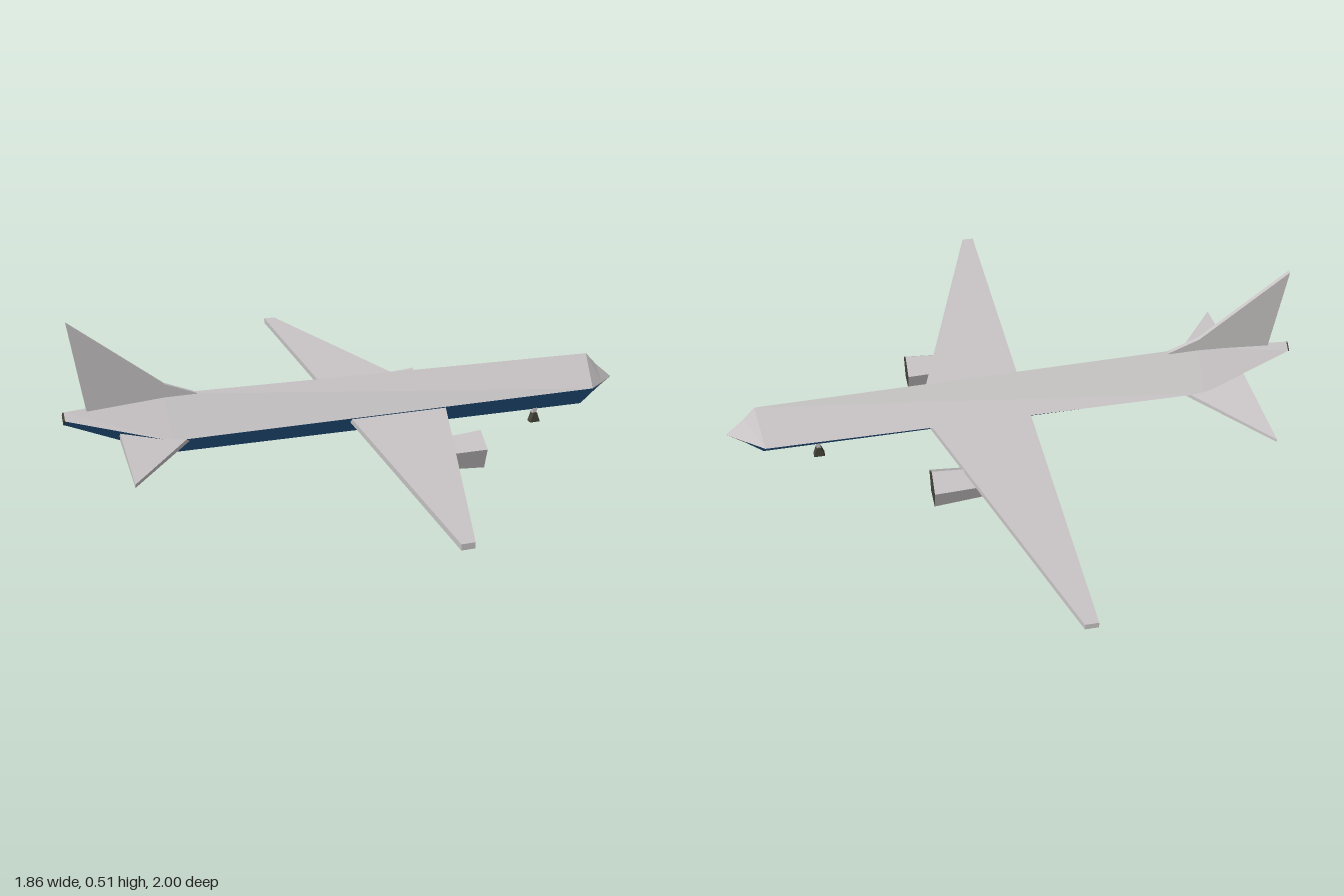
import * as THREE from 'three';
import { ConvexGeometry } from 'three/addons/geometries/ConvexGeometry.js';

const material = (name, color) => {
  const m = new THREE.MeshStandardMaterial({ color, flatShading: true });
  m.name = name;
  return m;
};

export function createModel() {
  const model = new THREE.Group();
  const gray = material('light gray', 0xc9c5c6);
  const blue = material('belly blue', 0x2a6096);
  const dark = material('dark metal', 0x45453a);

  const add = (name, geometry, mat, x = 0, y = 0, z = 0) => {
    const mesh = new THREE.Mesh(geometry, mat);
    mesh.name = name;
    mesh.position.set(x, y, z);
    model.add(mesh);
    return mesh;
  };

  // Hull stations: x, top, side and bottom height, half width
  const nose = [[0.81, 0.225, 0.135, 0.043, 0.1], [0.87, 0.182, 0.132, 0.085, 0.05], [0.93, 0.13, 0.13, 0.13, 0]];
  const body = [[-0.93, 0.23, 0.21, 0.188, 0.025], [-0.62, 0.252, 0.135, 0.054, 0.1], nose[0]];
  const ring = ([x, top, side, bottom, w], shift = 0) => [
    [x + shift, top, 0], [x, side, w], [x + shift / 2, bottom, 0], [x, side, -w]];

  // Joins diamond rings over the chosen sides (0, 3 upper; 1, 2 lower)
  const loft = (stations, sides) => {
    const rings = stations.map(s => ring(s, s === nose[0] ? 0.02 : 0));
    const pos = [];
    for (let i = 0; i < rings.length - 1; i++) {
      for (const k of sides) {
        const n = (k + 1) % 4;
        const [a, b, c, d] = [rings[i][k], rings[i][n], rings[i + 1][n], rings[i + 1][k]];
        pos.push(...a, ...b, ...c, ...a, ...c, ...d);
      }
    }
    const g = new THREE.BufferGeometry();
    g.setAttribute('position', new THREE.Float32BufferAttribute(pos, 3));
    g.computeVertexNormals();
    return g;
  };
  add('upperHull', loft(body, [0, 3]), gray);
  add('belly', loft(body, [1, 2]), blue);
  add('upperNose', loft(nose, [0, 3]), gray);
  add('lowerNose', loft(nose.slice(0, 2), [1, 2]), blue);
  add('noseTip', loft(nose.slice(1), [1, 2]), gray);

  // Exhaust plate closing the tail
  const tail = ring(body[0]).map(p => new THREE.Vector3(...p));
  add('tailExhaust', new ConvexGeometry([...tail, ...tail.map(p => p.clone().setX(-0.934))]), dark);

  // Flat plates cut from an outline
  const plate = (points, depth) => new THREE.ExtrudeGeometry(
    new THREE.Shape(points.map(p => new THREE.Vector2(...p))), { depth, bevelEnabled: false });
  const wing = plate([[-0.04, -1], [0, -1], [0.31, 0], [0, 1], [-0.04, 1]], 0.018);
  add('wings', wing.rotateX(-Math.PI / 2), gray, 0, 0.112, 0);
  add('tailFin', plate([[-0.86, 0.215], [-0.52, 0.235], [-0.52, 0.246], [-0.62, 0.287], [-0.905, 0.513]], 0.014),
    gray, 0, 0, -0.007);

  for (const s of [1, -1]) {
    const side = s > 0 ? 'near' : 'far';

    // Tapered stabilizer
    add(side + 'Stabilizer', new ConvexGeometry([
      [-0.53, 0.122, 0.04], [-0.53, 0.136, 0.04], [-0.77, 0.13, 0.03], [-0.77, 0.16, 0.03],
      [-0.78, 0.116, 0.36], [-0.78, 0.126, 0.36],
    ].map(([x, y, z]) => new THREE.Vector3(x, y, z * s))), gray);

    // Five-sided engine, point up, dark at both ends
    const engine = new THREE.CylinderGeometry(0.062, 0.05, 0.165, 5);
    engine.rotateZ(-Math.PI / 2).rotateX(Math.PI / 2);
    // Turn one corner to the top
    const p = engine.attributes.position;
    let up = 0;
    for (let i = 0; i < p.count; i++) if (Math.hypot(p.getY(i), p.getZ(i)) > 0.06) { up = i; break; }
    engine.rotateX(-Math.atan2(p.getZ(up), p.getY(up)));
    add(side + 'Engine', engine, [gray, dark, dark], 0.2325, 0.066, s * 0.3);
  }

  // Landing gear: thin strut on a three-sided foot
  const gear = (name, x, z, width, height) => {
    add(name + 'Strut', new THREE.BoxGeometry(0.014, height, 0.014), gray, x, 0.02 + height / 2, z);
    const foot = new THREE.Shape([[-0.018, 0], [0.018, 0], [0.006, 0.034], [-0.006, 0.034]]
      .map(q => new THREE.Vector2(...q)));
    add(name + 'Foot', new THREE.ExtrudeGeometry(foot, { depth: width, bevelEnabled: false }),
      dark, x, 0, z - width / 2);
  };
  gear('noseGear', 0.645, 0, 0.024, 0.04);
  for (const s of [1, -1]) gear(s > 0 ? 'nearGear' : 'farGear', 0.128, s * 0.15, 0.04, 0.095);

  return model;
}
